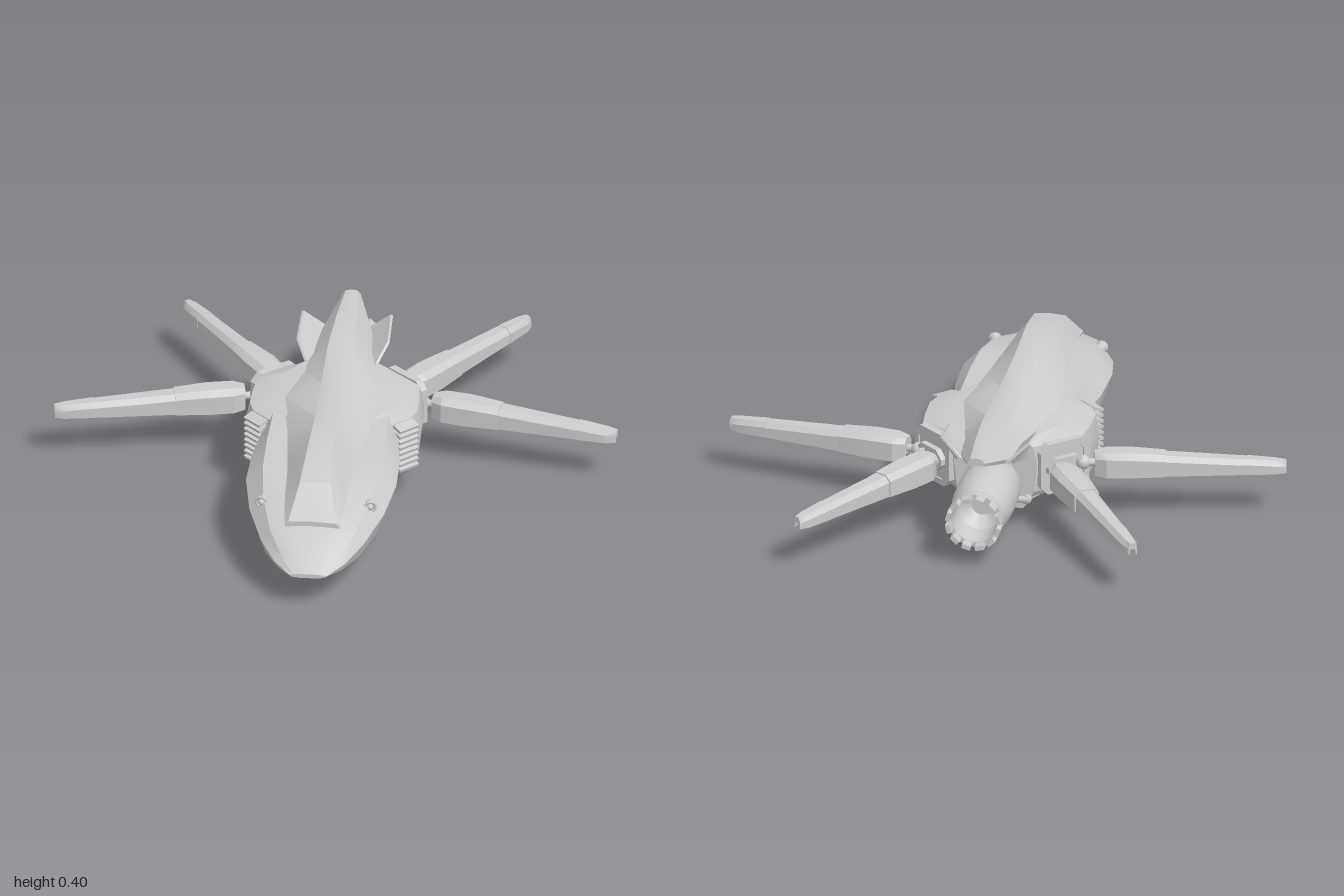
import * as THREE from 'three';
import { toCreasedNormals } from 'three/addons/utils/BufferGeometryUtils.js';

const grey = new THREE.MeshStandardMaterial({ color: 0xcccccc, side: THREE.DoubleSide });

function add(parent, name, geo, x = 0, y = 0, z = 0) {
  const m = new THREE.Mesh(geo, grey);
  m.name = name;
  m.position.set(x, y, z);
  parent.add(m);
  return m;
}

// Skin over closed loops of [x, y, z], ordered front to back, with both ends capped
function loft(loops, crease = 0.45) {
  const pos = [], n = loops[0].length;
  for (let i = 0; i < loops.length - 1; i++) {
    for (let j = 0; j < n; j++) {
      const k = (j + 1) % n, a = loops[i], b = loops[i + 1];
      pos.push(...a[j], ...a[k], ...b[j], ...a[k], ...b[k], ...b[j]);
    }
  }
  const cap = (loop, front) => {
    const pts = loop.map(p => new THREE.Vector2(p[0], p[1]));
    for (const [a, b, c] of THREE.ShapeUtils.triangulateShape(pts, [])) {
      const ccw = THREE.ShapeUtils.area([pts[a], pts[b], pts[c]]) > 0;
      const t = ccw === front ? [a, b, c] : [a, c, b];
      t.forEach(q => pos.push(...loop[q]));
    }
  };
  cap(loops[0], true);
  cap(loops[loops.length - 1], false);
  const g = new THREE.BufferGeometry();
  g.setAttribute('position', new THREE.Float32BufferAttribute(pos, 3));
  return toCreasedNormals(g, crease);
}

// Full loop from a half section running from top centre to bottom centre
function mirrorLoop(z, half) {
  const right = half.map(([x, y]) => [x, y, z]);
  const left = half.slice(1, -1).reverse().map(([x, y]) => [-x, y, z]);
  return right.concat(left);
}
const symLoft = rows => loft(rows.map(([z, ...half]) => mirrorLoop(z, half)));

// Plate with cut corners, optionally with a matching opening
function plate(w, h, depth, hole = 0) {
  const outline = (P, a, b, c) => new P([[a, b - c], [a - c, b], [c - a, b], [-a, b - c],
    [-a, c - b], [c - a, -b], [a - c, -b], [a, c - b]].map(p => new THREE.Vector2(...p)));
  const s = outline(THREE.Shape, w / 2, h / 2, 0.03);
  if (hole) s.holes.push(outline(THREE.Path, w / 2 - hole, h / 2 - hole, 0.02));
  return new THREE.ExtrudeGeometry(s, { depth, bevelEnabled: false });
}

// One blade segment: bevelled top and a channel underneath. Rows: distance, half width, top height
function bladeSegment(rows) {
  const b = 0.16;
  return loft(rows.map(([d, w, t]) => [[-0.55 * w, t], [0.55 * w, t], [w, t - 0.018], [w, b], [0.7 * w, b],
    [0.55 * w, b + 0.02], [-0.55 * w, b + 0.02], [-0.7 * w, b], [-w, b], [-w, t - 0.018]].map(([x, y]) => [x, y, -d])), 0.4);
}

function wing(name, x0, z0, x1, z1) {
  const g = new THREE.Group();
  g.name = name;
  add(g, 'wingRoot', bladeSegment([[0, 0.03, 0.24], [0.04, 0.053, 0.246], [0.13, 0.056, 0.245], [0.25, 0.046, 0.236]]));
  add(g, 'wingMiddle', bladeSegment([[0.25, 0.042, 0.232], [0.535, 0.032, 0.214]]));
  add(g, 'wingTip', bladeSegment([[0.535, 0.034, 0.216], [0.64, 0.028, 0.207], [0.675, 0.016, 0.203]]));
  const pin = add(g, 'wingPin', new THREE.CylinderGeometry(0.014, 0.014, 0.07, 12), 0, 0.2, 0.02);
  pin.rotation.x = Math.PI / 2;
  add(g, 'wingJoint', new THREE.SphereGeometry(0.026, 16, 12), 0, 0.2, 0.04);
  g.position.set(x0, 0, z0);
  g.rotation.y = Math.atan2(x0 - x1, z0 - z1);
  return g;
}

function buildSide() {
  const side = new THREE.Group();
  side.add(wing('frontWing', 0.335, -0.25, 0.995, -0.112));
  side.add(wing('rearWing', 0.232, -0.365, 0.6, -0.925));

  // Stepped plate that carries both wings
  const mount = new THREE.Group();
  mount.name = 'wingMount';
  mount.position.set(0.227, 0.2, -0.29);
  mount.rotation.y = Math.atan2(0.14, -0.155);
  add(mount, 'mountFrame', plate(0.2, 0.19, 0.028, 0.022), 0, 0, -0.01);
  add(mount, 'mountPlate', plate(0.17, 0.15, 0.012));
  add(mount, 'mountCollar', plate(0.15, 0.08, 0.034, 0.015));
  side.add(mount);

  // Slats across the slanted intake
  const vents = new THREE.Group();
  vents.name = 'intakeSlats';
  vents.position.set(0.266, 0, 0.062);
  vents.rotation.y = 0.78;
  for (let i = 0; i < 8; i++) {
    add(vents, 'slat', new THREE.BoxGeometry(0.085, 0.011, 0.04), 0, 0.122 + i * 0.022, 0).rotation.x = 0.3;
  }
  side.add(vents);

  // Sensor eye
  const eye = new THREE.Group();
  eye.name = 'sensorEye';
  eye.position.set(0.192, 0.253, 0.625);
  eye.rotation.y = 0.25;
  add(eye, 'eyeRing', new THREE.TorusGeometry(0.019, 0.005, 8, 20));
  add(eye, 'eyeLens', new THREE.SphereGeometry(0.012, 12, 8));
  const hood = add(eye, 'eyeHood', new THREE.CylinderGeometry(0.021, 0.01, 0.09, 16), 0, 0, -0.045);
  hood.rotation.x = Math.PI / 2;
  side.add(eye);

  // Tilted tail fin
  const finRow = (z, x0, y0, x1, y1) => [[x1 - 0.008, y1, z], [x1, y1 - 0.004, z], [x0 + 0.012, y0, z], [x0 - 0.012, y0 + 0.008, z]];
  add(side, 'tailFin', loft([finRow(-0.32, 0.11, 0.29, 0.13, 0.315), finRow(-0.39, 0.105, 0.3, 0.165, 0.365),
    finRow(-0.55, 0.09, 0.3, 0.162, 0.388), finRow(-0.575, 0.085, 0.31, 0.095, 0.325)]));

  // Pipe from hull to engine
  const pipe = new THREE.CatmullRomCurve3([[0.11, 0.1, -0.33], [0.12, 0.09, -0.38], [0.11, 0.11, -0.42], [0.085, 0.13, -0.46]]
    .map(p => new THREE.Vector3(...p)));
  add(side, 'enginePipe', new THREE.TubeGeometry(pipe, 14, 0.013, 8));
  return side;
}

function buildEngine() {
  const g = new THREE.Group();
  g.name = 'engine';
  g.position.set(0, 0.16, 0);
  const profile = [[0, 0.3], [0.07, 0.33], [0.09, 0.4], [0.105, 0.43], [0.109, 0.54], [0.106, 0.62], [0.096, 0.7],
    [0.1, 0.71], [0.1, 0.745], [0.082, 0.745], [0.078, 0.64], [0.04, 0.6], [0, 0.6]];
  const shell = new THREE.LatheGeometry(profile.map(p => new THREE.Vector2(...p)), 32);
  shell.rotateX(-Math.PI / 2);
  add(g, 'engineShell', toCreasedNormals(shell, 0.5));
  const count = 12;
  for (let i = 0; i < count; i++) {
    const a = (i + 0.5) / count * Math.PI * 2;
    const t = add(g, 'nozzleTooth', new THREE.BoxGeometry(0.032, 0.016, 0.05), Math.sin(a) * 0.091, Math.cos(a) * 0.091, -0.76);
    t.rotation.z = -a;
  }
  return g;
}

export function createModel() {
  const model = new THREE.Group();
  model.name = 'spacecraft';

  add(model, 'hull', symLoft([
    [0.93, [0, 0.138], [0.03, 0.138], [0.055, 0.136], [0.065, 0.132], [0.055, 0.126], [0.03, 0.123], [0, 0.123]],
    [0.86, [0, 0.19], [0.06, 0.186], [0.1, 0.172], [0.125, 0.147], [0.11, 0.12], [0.06, 0.105], [0, 0.105]],
    [0.76, [0, 0.245], [0.09, 0.24], [0.15, 0.218], [0.182, 0.175], [0.165, 0.125], [0.1, 0.085], [0, 0.085]],
    [0.6, [0, 0.29], [0.11, 0.285], [0.19, 0.267], [0.238, 0.21], [0.21, 0.13], [0.12, 0.076], [0, 0.076]],
    [0.43, [0, 0.3], [0.12, 0.3], [0.205, 0.297], [0.266, 0.235], [0.235, 0.14], [0.13, 0.07], [0, 0.07]],
    [0.25, [0, 0.3], [0.12, 0.3], [0.208, 0.303], [0.262, 0.235], [0.235, 0.14], [0.13, 0.068], [0, 0.068]],
    [0.07, [0, 0.31], [0.12, 0.31], [0.205, 0.303], [0.24, 0.24], [0.23, 0.13], [0.13, 0.066], [0, 0.066]],
    [-0.2, [0, 0.31], [0.12, 0.31], [0.19, 0.303], [0.22, 0.24], [0.2, 0.13], [0.13, 0.06], [0, 0.06]],
    [-0.36, [0, 0.3], [0.09, 0.3], [0.12, 0.29], [0.14, 0.24], [0.14, 0.12], [0.1, 0.05], [0, 0.05]],
  ]));

  // Wide aft body with a slanted intake in front and slanted wing mounts behind
  const aftRow = (z, w) => [z, [0, 0.31], [w * 0.65, 0.312], [w - 0.015, 0.287], [w, 0.22], [w - 0.012, 0.115], [w * 0.75, 0.088], [0, 0.066]];
  add(model, 'aftBody', symLoft([aftRow(0.085, 0.225), aftRow(0.02, 0.292), aftRow(-0.04, 0.312),
    aftRow(-0.14, 0.31), aftRow(-0.22, 0.302), aftRow(-0.36, 0.15)]));

  // Canopy running back into a long tail spine
  const spineRow = (z, top, wt, wb, yb, base) => [z, [0, top + 0.004], [wt, top], [wb, yb], [wb * 0.9, base], [0, base]];
  add(model, 'canopyAndSpine', symLoft([
    spineRow(0.765, 0.256, 0.085, 0.098, 0.245, 0.22), spineRow(0.65, 0.352, 0.055, 0.108, 0.28, 0.25),
    spineRow(0.43, 0.399, 0.043, 0.118, 0.3, 0.27), spineRow(0.2, 0.379, 0.042, 0.14, 0.305, 0.27),
    spineRow(-0.05, 0.371, 0.045, 0.18, 0.307, 0.27), spineRow(-0.3, 0.372, 0.048, 0.135, 0.298, 0.25),
    spineRow(-0.4, 0.38, 0.044, 0.115, 0.3, 0.25), spineRow(-0.54, 0.385, 0.036, 0.09, 0.318, 0.3),
    spineRow(-0.72, 0.384, 0.022, 0.032, 0.37, 0.36)]));

  // Keel under the belly
  const keelRow = (z, wTop, wBottom, y) => [z, [0, 0.085], [wTop, 0.085], [wBottom, y], [0, y]];
  add(model, 'keel', symLoft([keelRow(0.525, 0.09, 0.08, 0.068), keelRow(0.5, 0.115, 0.052, 0),
    keelRow(0.1, 0.125, 0.055, 0), keelRow(0, 0.15, 0.09, 0.038), keelRow(-0.31, 0.15, 0.09, 0.04), keelRow(-0.36, 0.12, 0.08, 0.055)]));

  model.add(buildEngine());

  const left = buildSide();
  left.name = 'leftSide';
  const right = buildSide();
  right.name = 'rightSide';
  right.scale.x = -1;
  model.add(left, right);
  return model;
}
